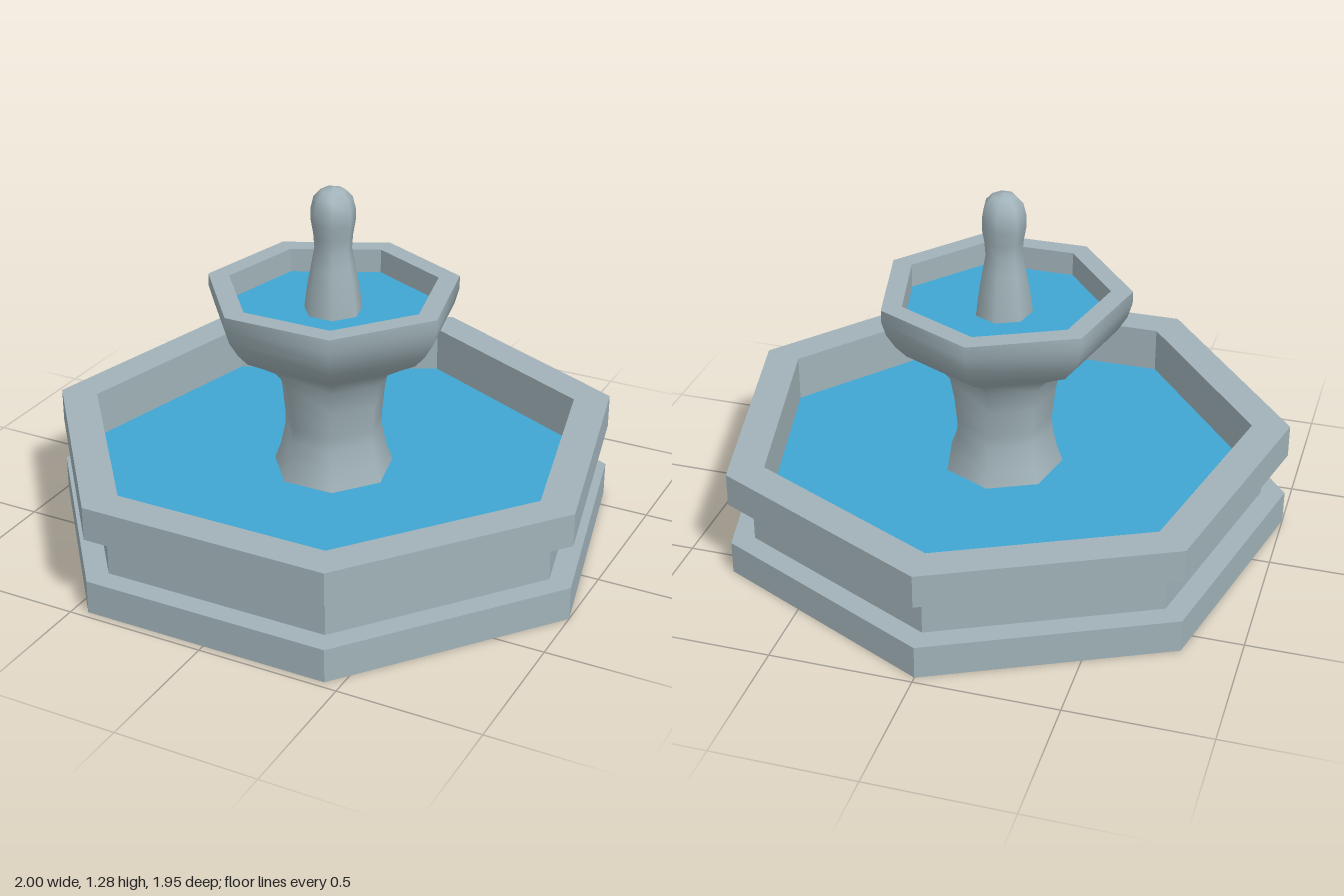
import * as THREE from 'three';

const SIDES = 7;

// Seven-sided lathe with a corner pointing to the back
function lathe(points, faceted) {
  const profile = points.map(([r, y]) => new THREE.Vector2(r, y));
  const geometry = new THREE.LatheGeometry(profile, SIDES, Math.PI, Math.PI * 2);
  if (!faceted) return geometry;
  const flat = geometry.toNonIndexed();
  flat.computeVertexNormals();
  return flat;
}

export function createModel() {
  const stone = new THREE.MeshStandardMaterial({ color: 0xa0b2b8 });
  stone.name = 'stone';
  const water = new THREE.MeshStandardMaterial({ color: 0x41a6d2 });
  water.name = 'water';

  const group = new THREE.Group();
  group.name = 'fountain';
  group.position.z = 0.05;

  const add = (name, points, material, faceted) => {
    const mesh = new THREE.Mesh(lathe(points, faceted), material);
    mesh.name = name;
    group.add(mesh);
  };

  // Lower basin: foot, recessed wall, rim and inner wall
  add('basin', [
    [0, 0], [1.026, 0], [1.026, 0.12], [0.94, 0.12], [0.94, 0.28],
    [1.026, 0.28], [1.026, 0.4], [0.89, 0.4], [0.89, 0.23],
  ], stone, true);
  add('basinWater', [[0.89, 0.23], [0, 0.23]], water, true);

  // Flared pedestal growing into the upper bowl
  add('pedestalAndBowl', [
    [0.22, 0.22], [0.195, 0.29], [0.177, 0.37], [0.176, 0.42], [0.186, 0.52],
    [0.202, 0.604], [0.246, 0.658], [0.297, 0.69], [0.362, 0.727],
    [0.4, 0.77], [0.433, 0.823], [0.449, 0.877], [0.449, 0.922],
  ], stone, false);

  // Bowl rim and inner wall
  add('bowlRim', [[0.449, 0.922], [0.373, 0.922], [0.373, 0.835]], stone, true);
  add('bowlWater', [[0.373, 0.835], [0, 0.835]], water, true);

  // Rounded spout in the middle of the bowl
  add('spout', [
    [0.104, 0.83], [0.092, 0.92], [0.077, 1.0], [0.066, 1.06], [0.07, 1.11],
    [0.079, 1.16], [0.079, 1.2], [0.068, 1.245], [0.042, 1.273], [0, 1.283],
  ], stone, false);

  const model = new THREE.Group();
  model.add(group);
  return model;
}
